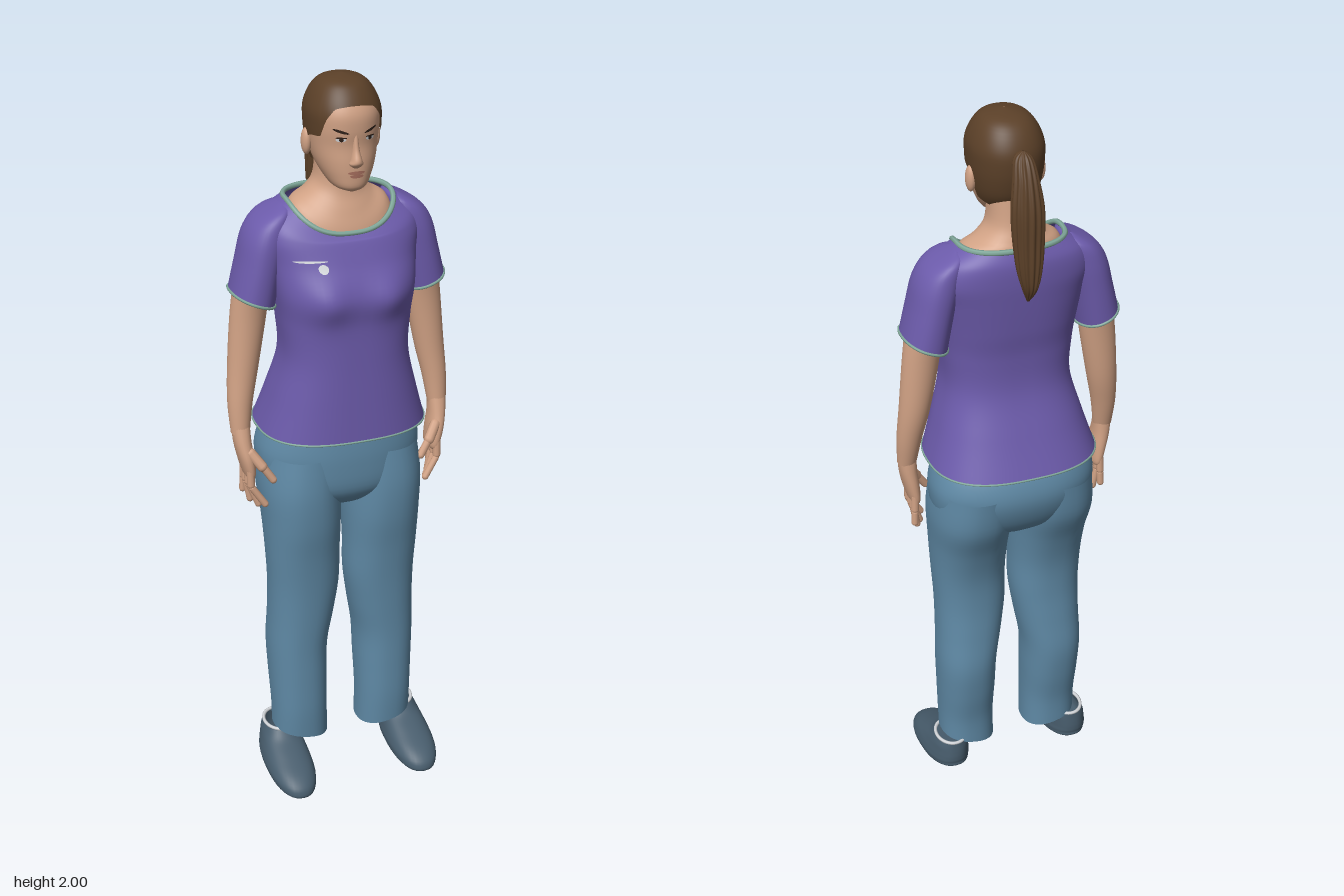
import * as THREE from 'three';

const color = (name, hex) => {
  const m = new THREE.MeshStandardMaterial({ color: hex, side: THREE.DoubleSide });
  m.name = name;
  return m;
};

// Smooth interpolation through key rows: [y, cx, rx, zFront, zBack, frontDrop, sideTilt]
function row(keys, t) {
  const n = keys.length - 1, i = Math.min(Math.max(Math.floor(t), 0), n - 1), f = t - i;
  const k = (j, c) => keys[Math.min(Math.max(j, 0), n)][c] ?? 0;
  return [0, 1, 2, 3, 4, 5, 6].map(c => {
    const a = k(i, c), b = k(i + 1, c);
    const m0 = (b - k(i - 1, c)) / 2, m1 = (k(i + 2, c) - a) / 2;
    return a + f * (m0 + f * (3 * (b - a) - 2 * m0 - m1 + f * (2 * (a - b) + m0 + m1)));
  });
}

// Point on a body surface: u goes round from +x through the front, t runs along the keys
function at(keys, u, t, pow = 2.2, side = 1) {
  const [y, cx, rx, zf, zb, drop, tilt] = row(keys, t);
  const bend = v => Math.sign(v) * Math.abs(v) ** (2 / pow);
  const c = bend(Math.cos(u)), s = bend(Math.sin(u)), zc = (zf + zb) / 2;
  return new THREE.Vector3(cx * side + rx * c,
    y - drop * Math.max(0, Math.sin(u)) ** 1.5 + tilt * side * c, zc + (zf - zb) / 2 * s);
}

// Closed-around mesh from a surface function fn(u, v), v from 0 to 1
function wrap(fn, nu, nv) {
  const pos = [], idx = [];
  for (let j = 0; j <= nv; j++) for (let i = 0; i < nu; i++) pos.push(...fn(i / nu * Math.PI * 2, j / nv).toArray());
  for (let j = 0; j < nv; j++) for (let i = 0; i < nu; i++) {
    const a = j * nu + i, b = j * nu + (i + 1) % nu;
    idx.push(a, a + nu, b, b, a + nu, b + nu);
  }
  const g = new THREE.BufferGeometry();
  g.setAttribute('position', new THREE.Float32BufferAttribute(pos, 3));
  g.setIndex(idx);
  g.computeVertexNormals();
  return g;
}

const loft = (keys, pow, side, nu = 40) => wrap((u, v) => at(keys, u, v * (keys.length - 1), pow, side), nu, (keys.length - 1) * 5);

// Thin ellipse lying on a forward-facing surface
const patch = (fn, u, t, du, dt, slope = 0, lift = 0.003) => wrap((a, v) => {
  const x = du * v * Math.cos(a), p = fn(u + x, t - dt * v * Math.sin(a) + slope * x);
  p.z += lift;
  return p;
}, 20, 3);

// Trim tube following one ring of a surface
const trimRing = (fn, r) => new THREE.TubeGeometry(
  new THREE.CatmullRomCurve3(Array.from({ length: 40 }, (_, i) => fn(i / 40 * Math.PI * 2)), true), 80, r, 6, true);

function limb(a, b, r) {
  const p = new THREE.Vector3(...a), q = new THREE.Vector3(...b), d = q.clone().sub(p);
  const g = new THREE.CapsuleGeometry(r, d.length() - r, 4, 10);
  g.applyQuaternion(new THREE.Quaternion().setFromUnitVectors(new THREE.Vector3(0, 1, 0), d.clone().normalize()));
  const m = p.add(q).multiplyScalar(0.5);
  return g.translate(m.x, m.y, m.z);
}

const ellipsoid = (x, y, z, a, b, c) => new THREE.SphereGeometry(1, 20, 14).scale(a, b, c).translate(x, y, z);

const HEAD = [
  [1.722, 0, 0.012, 0.088, 0.04], [1.735, 0, 0.042, 0.108, 0.0], [1.765, 0, 0.062, 0.112, -0.045],
  [1.80, 0, 0.076, 0.112, -0.078], [1.84, 0, 0.084, 0.109, -0.092], [1.88, 0, 0.088, 0.113, -0.098],
  [1.92, 0, 0.087, 0.11, -0.096], [1.96, 0, 0.070, 0.088, -0.076], [1.983, 0, 0.045, 0.06, -0.045],
  [1.993, 0, 0.001, 0.011, 0.009]];
const SHIRT = [
  [1.07, 0, 0.225, 0.16, -0.203], [1.17, 0, 0.195, 0.155, -0.162], [1.28, 0, 0.168, 0.15, -0.124],
  [1.38, 0, 0.173, 0.148, -0.12], [1.46, 0, 0.184, 0.153, -0.13], [1.54, 0, 0.196, 0.122, -0.138],
  [1.60, 0, 0.208, 0.102, -0.142, 0.01], [1.65, 0, 0.19, 0.095, -0.139, 0.05], [1.685, 0, 0.138, 0.085, -0.125, 0.072]];
const SLEEVE = [
  [1.677, 0.15, 0.005, -0.01, -0.06], [1.655, 0.172, 0.045, 0.035, -0.10, 0, -0.012], [1.60, 0.193, 0.056, 0.052, -0.112],
  [1.52, 0.213, 0.055, 0.056, -0.114, 0, 0.008], [1.435, 0.231, 0.055, 0.056, -0.113, 0, 0.02]].reverse();
const NECK = [
  [1.62, 0, 0.15, 0.08, -0.118, 0.05], [1.675, 0, 0.125, 0.072, -0.114, 0.06], [1.70, 0, 0.085, 0.056, -0.106, 0.04],
  [1.735, 0, 0.06, 0.036, -0.094, 0.02], [1.80, 0, 0.056, 0.035, -0.084]];
const ARM = [
  [1.07, 0.277, 0.025, 0.022, -0.03], [1.15, 0.272, 0.033, 0.017, -0.05], [1.25, 0.258, 0.041, 0.012, -0.068],
  [1.40, 0.238, 0.048, 0.012, -0.076], [1.52, 0.222, 0.045, 0.03, -0.085]];
const PALM = [
  [0.94, 0.26, 0.005, 0.03, -0.02], [0.955, 0.26, 0.015, 0.045, -0.035], [1.0, 0.267, 0.021, 0.046, -0.036],
  [1.045, 0.274, 0.023, 0.034, -0.033], [1.09, 0.276, 0.024, 0.02, -0.03]];
const LEG = [
  [0.115, 0.125, 0.077, 0.075, -0.08, 0, 0.016], [0.2, 0.126, 0.077, 0.08, -0.083], [0.3, 0.127, 0.08, 0.08, -0.10],
  [0.4, 0.127, 0.083, 0.08, -0.11], [0.5, 0.117, 0.09, 0.084, -0.102], [0.6, 0.11, 0.097, 0.09, -0.095],
  [0.7, 0.112, 0.1, 0.10, -0.10], [0.8, 0.113, 0.104, 0.114, -0.127], [0.9, 0.115, 0.108, 0.118, -0.168],
  [1.0, 0.108, 0.105, 0.108, -0.18]];
const HIPS = [
  [0.82, 0, 0.02, 0.01, -0.04], [0.85, 0, 0.10, 0.07, -0.11], [0.90, 0, 0.20, 0.11, -0.16],
  [0.98, 0, 0.224, 0.117, -0.188], [1.05, 0, 0.212, 0.112, -0.175], [1.12, 0, 0.18, 0.1, -0.13]];
const SHOE = [
  [0.0, 0.182, 0.002, 0.06, 0.05], [0.002, 0.182, 0.055, 0.188, -0.07], [0.025, 0.183, 0.066, 0.202, -0.083],
  [0.05, 0.183, 0.063, 0.175, -0.085], [0.075, 0.182, 0.057, 0.115, -0.084], [0.10, 0.181, 0.051, 0.06, -0.082],
  [0.125, 0.18, 0.044, 0.035, -0.08]];
const TAIL = [
  [1.56, 0, 0.003, -0.148, -0.156], [1.60, 0, 0.018, -0.135, -0.186], [1.65, 0, 0.03, -0.125, -0.193],
  [1.72, 0, 0.037, -0.115, -0.191], [1.80, 0, 0.039, -0.108, -0.186], [1.87, 0, 0.031, -0.10, -0.168],
  [1.92, 0, 0.022, -0.09, -0.142], [1.937, 0, 0.003, -0.112, -0.12]];

const headAt = (u, t) => at(HEAD, u, t, 2.2);

// Shirt surface with a soft fullness on each side of the chest
const shirtAt = (u, t) => {
  const p = at(SHIRT, u, t, 2.6);
  if (Math.sin(u) > 0) p.z += 0.016 * Math.sin(u) * Math.exp(-(((Math.abs(p.x) - 0.085) / 0.05) ** 2) - ((p.y - 1.455) / 0.055) ** 2);
  return p;
};

// Hairline height on the head, by how far forward the point is
function hairline(s) {
  const k = [[-1, 2.2], [-0.25, 2.8], [-0.05, 4.2], [0.2, 4.5], [0.55, 4.6], [0.7, 5.6], [0.85, 6.25], [1, 6.4]];
  const i = Math.max(1, k.findIndex(e => s <= e[0] + 1e-6));
  return THREE.MathUtils.mapLinear(s, k[i - 1][0], k[i][0], k[i - 1][1], k[i][1]);
}

export function createModel() {
  const model = new THREE.Group();
  const skin = color('skin', 0xd0a184), lips = color('lips', 0xa9705f), white = color('pale grey', 0xd5d8dc);
  const dark = color('dark brown', 0x2e2019), purple = color('purple fabric', 0x6c5bab), trim = color('sage trim', 0x82aa9c);
  const denim = color('blue fabric', 0x5f89a5), shoe = color('slate shoe', 0x485d6d), hair = color('brown hair', 0x5b4028);
  const add = (name, geo, mat) => {
    const m = new THREE.Mesh(geo, mat);
    m.name = name;
    model.add(m);
  };
  const front = Math.PI / 2;

  // Head and face
  add('head', loft(HEAD, 2.2, 1, 48), skin);
  add('neck', loft(NECK, 2.2), skin);
  add('nose', loft([[1.788, 0, 0.006, 0.115, 0.10], [1.798, 0, 0.018, 0.128, 0.09], [1.81, 0, 0.014, 0.131, 0.09],
    [1.835, 0, 0.009, 0.12, 0.09], [1.872, 0, 0.007, 0.112, 0.09]], 2, 1, 16), skin);
  add('upperLip', patch(headAt, front, 2.36, 0.29, 0.13, 0, 0.004), lips);
  add('lowerLip', patch(headAt, front, 2.12, 0.24, 0.14, 0, 0.005), lips);
  for (const s of [1, -1]) {
    add('eye', patch(headAt, front - s * 0.41, 4.5, 0.15, 0.13, 0, 0.002), white);
    add('iris', patch(headAt, front - s * 0.40, 4.51, 0.065, 0.13, 0, 0.0035), dark);
    add('upperLid', patch(headAt, front - s * 0.41, 4.63, 0.17, 0.05, 0, 0.004), dark);
    add('eyebrow', patch(headAt, front - s * 0.42, 5.03, 0.23, 0.09, -s * 0.6, 0.004), dark);
    add('ear', ellipsoid(s * 0.09, 1.835, 0.0, 0.013, 0.034, 0.018), skin);
  }

  // Hair cap cut along the hairline, and ponytail with strands
  const centre = new THREE.Vector3(0, 1.86, 0.005);
  add('hairCap', wrap((u, v) => headAt(u, THREE.MathUtils.lerp(hairline(Math.sin(u)), 9, v))
    .sub(centre).multiplyScalar(1.055).add(centre), 96, 24), hair);
  add('ponytail', wrap((u, v) => {
    const p = at(TAIL, u, v * 7, 2), [, , , zf, zb] = row(TAIL, v * 7), k = 1 + 0.07 * Math.sin(13 * u + v * 5), zc = (zf + zb) / 2;
    return p.set(p.x * k, p.y, zc + (p.z - zc) * k);
  }, 78, 35), hair);
  add('ponytailRoot', ellipsoid(0, 1.9, -0.10, 0.024, 0.024, 0.03), hair);

  // Shirt with trims and a chest badge
  add('shirt', wrap((u, v) => shirtAt(u, v * 8), 72, 56), purple);
  add('collarTrim', trimRing(u => shirtAt(u, 8), 0.007), trim);
  add('hemTrim', trimRing(u => shirtAt(u, 0), 0.003), trim);
  add('badge', patch(shirtAt, 1.93, 5.0, 0.07, 0.17), white);
  add('badgeLine', patch(shirtAt, 2.12, 5.28, 0.27, 0.05), white);

  // Trousers seat
  add('hips', loft(HIPS, 2.3, 1, 48), denim);

  // Paired limbs
  for (const s of [1, -1]) {
    add('sleeve', loft(SLEEVE, 2.2, s), purple);
    add('sleeveTrim', trimRing(u => at(SLEEVE, u, 0, 2.2, s), 0.004), trim);
    add('arm', loft(ARM, 2, s), skin);
    add('palm', loft(PALM, 2.2, s, 24), skin);
    const fingers = [[0.038, 0.226, 0.868, 0.046], [0.014, 0.238, 0.858, 0.02], [-0.008, 0.254, 0.864, -0.005], [-0.027, 0.268, 0.885, -0.028]];
    for (const [z, x, y, z2] of fingers) {
      const k = [s * (0.25 + x * 0.06), 0.925, z];
      add('fingerBase', limb([s * 0.264, 0.975, z * 0.95], k, 0.0105), skin);
      add('fingerTip', limb(k, [s * x, y, z2], 0.0095), skin);
    }
    add('thumbBase', limb([s * 0.264, 1.025, 0.028], [s * 0.232, 0.98, 0.052], 0.014), skin);
    add('thumbTip', limb([s * 0.234, 0.985, 0.05], [s * 0.206, 0.942, 0.058], 0.0105), skin);
    add('trouserLeg', loft(LEG, 2.3, s), denim);

    // Shoe sole rises gently toward the heel
    add('shoe', wrap((u, v) => {
      const p = at(SHOE, u, v * 6, 2.3, s);
      p.y += (0.2 - p.z) * 0.14 * Math.max(0, 1 - p.y / 0.125);
      return p;
    }, 40, 30), shoe);
    add('ankleBand', trimRing(u => new THREE.Vector3(s * 0.18 + 0.042 * Math.cos(u), 0.128, -0.024 + 0.055 * Math.sin(u)), 0.005), white);
  }
  return model;
}
